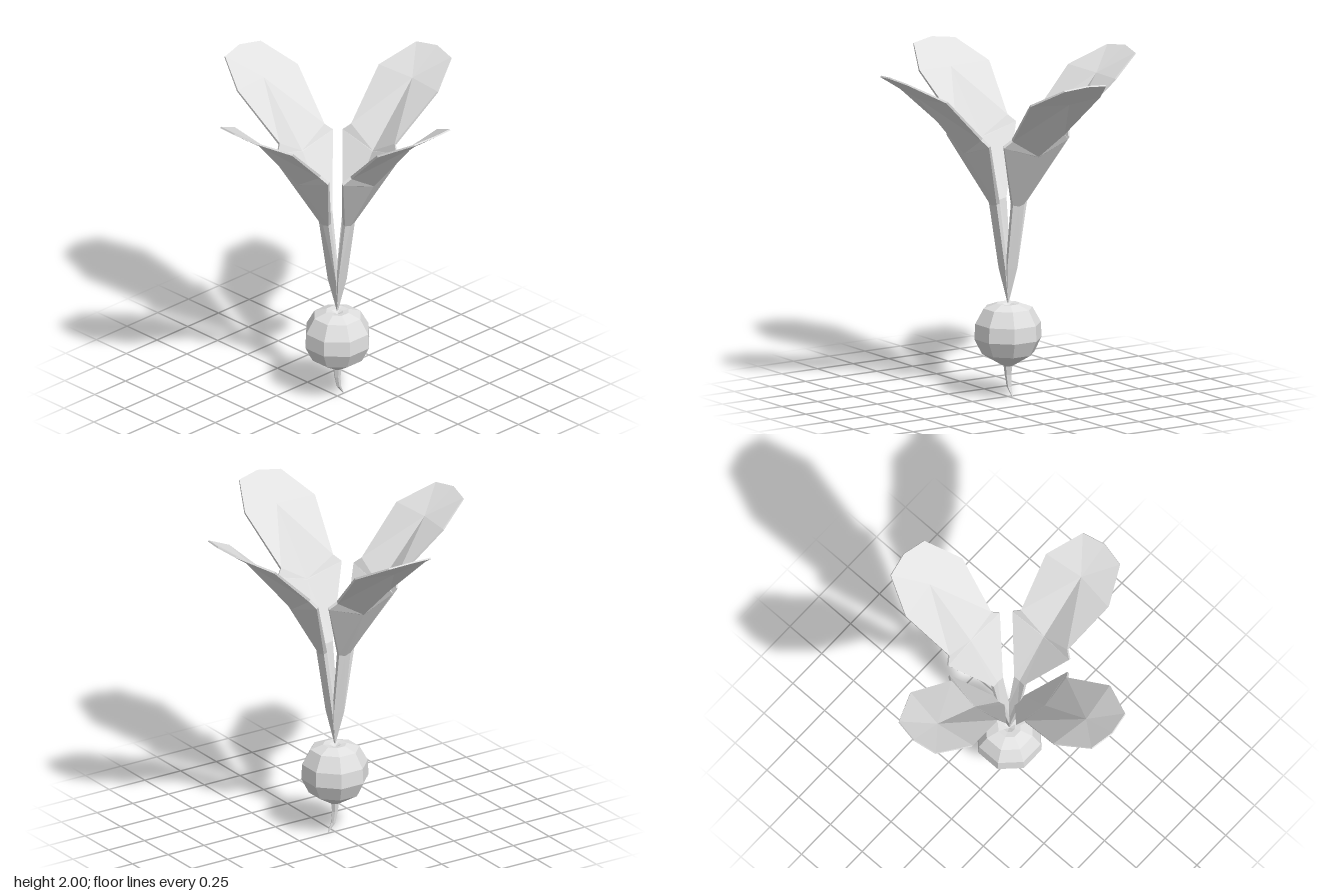
import * as THREE from 'three';

// Leaf sections, base to tip: centre (out, y), edge (out, y), half width, thickness, tilt of the thickness
const SECTIONS = [
  { c: [0.0, 0.56], e: [0.0, 0.56], w: 0.004, t: 0.004, a: 0.15 },
  { c: [0.034, 0.77], e: [0.034, 0.77], w: 0.035, t: 0.018, a: 0.17 },
  { c: [0.1, 1.155], e: [0.095, 1.165], w: 0.04, t: 0.024, a: 0.3 },
  { c: [0.3, 1.485], e: [0.275, 1.56], w: 0.223, t: 0.016, a: 0.75 },
  { c: [0.303, 1.488], e: [0.303, 1.6], w: 0.182, t: 0.016, a: 0.8 },
  { c: [0.622, 1.853], e: [0.587, 1.865], w: 0.244, t: 0.012, a: 0.85 },
  { c: [0.824, 1.995], e: [0.795, 1.978], w: 0.145, t: 0.009, a: 0.95 },
];

// Ring of six points: upper left, centre, right, then lower right, centre, left
function ring({ c, e, w, t, a }, shift) {
  const dz = Math.cos(a) * t / 2, dy = -Math.sin(a) * t / 2;
  const point = (x, [z, y], side) => [x + shift * Math.min(1, z * 4), y + side * dy, z + side * dz];
  return [
    point(-w, e, -1), point(0, c, -1), point(w, e, -1),
    point(w, e, 1), point(0, c, 1), point(-w, e, 1),
  ];
}

function leafGeometry(shift) {
  const rings = SECTIONS.map((s) => ring(s, shift));
  const last = rings.length - 1;
  const pos = [];
  const tri = (...pts) => pts.forEach((p) => pos.push(...p));
  for (let i = 0; i < last; i++) {
    for (let k = 0; k < 6; k++) {
      const n = (k + 1) % 6;
      const a = rings[i][k], b = rings[i + 1][k], c = rings[i][n], d = rings[i + 1][n];
      // creases run from edge to next centre, except at the fan-shaped tip
      const edgeFirst = k === 0 || k === 3 - 1 || k === 3 || k === 5;
      if (edgeFirst !== (i === last - 1)) { tri(a, b, d); tri(a, d, c); }
      else { tri(a, b, c); tri(c, b, d); }
    }
  }
  const [l, m, r, rb, mb, lb] = rings[last];
  tri(l, lb, m); tri(m, lb, mb); tri(m, mb, r); tri(r, mb, rb);
  const geo = new THREE.BufferGeometry();
  geo.setAttribute('position', new THREE.Float32BufferAttribute(pos, 3));
  geo.computeVertexNormals();
  return geo;
}

function lathe(points, sides) {
  return new THREE.LatheGeometry(points.map(([r, y]) => new THREE.Vector2(r, y)), sides, Math.PI / sides);
}

export function createModel() {
  const model = new THREE.Group();
  model.name = 'rootVegetable';
  const grey = new THREE.MeshStandardMaterial({ color: 0xe0e0e0, flatShading: true });
  grey.name = 'pale grey';
  const add = (name, geo) => {
    const mesh = new THREE.Mesh(geo, grey);
    mesh.name = name;
    model.add(mesh);
    return mesh;
  };

  // Faceted bulb with a small dimple on top
  add('bulb', lathe([
    [0, 0.18], [0.03, 0.185], [0.155, 0.26], [0.2, 0.35], [0.195, 0.44],
    [0.145, 0.53], [0.07, 0.557], [0.035, 0.552], [0, 0.535],
  ], 8));

  // Tapering tail, bent sideways towards its tip
  const tail = lathe([[0, 0.005], [0.004, 0.012], [0.014, 0.06], [0.019, 0.13], [0.028, 0.2]], 6);
  const p = tail.attributes.position;
  for (let i = 0; i < p.count; i++) {
    const y = p.getY(i);
    const bend = y > 0.06 ? 0.012 * Math.max(0, (0.13 - y) / 0.07) : 0.012 + 0.036 * (0.06 - y) / 0.055;
    p.setX(i, p.getX(i) + bend);
    if (y < 0.01) p.setY(i, 0);
  }
  tail.computeVertexNormals();
  add('tail', tail);

  // Four leaves, one on each side
  ['frontLeaf', 'leftLeaf', 'backLeaf', 'rightLeaf'].forEach((name, i) => {
    const shift = [-0.003, 0.009, -0.003, -0.014][i];
    add(name, leafGeometry(shift)).rotation.y = i * Math.PI / 2;
  });
  return model;
}
